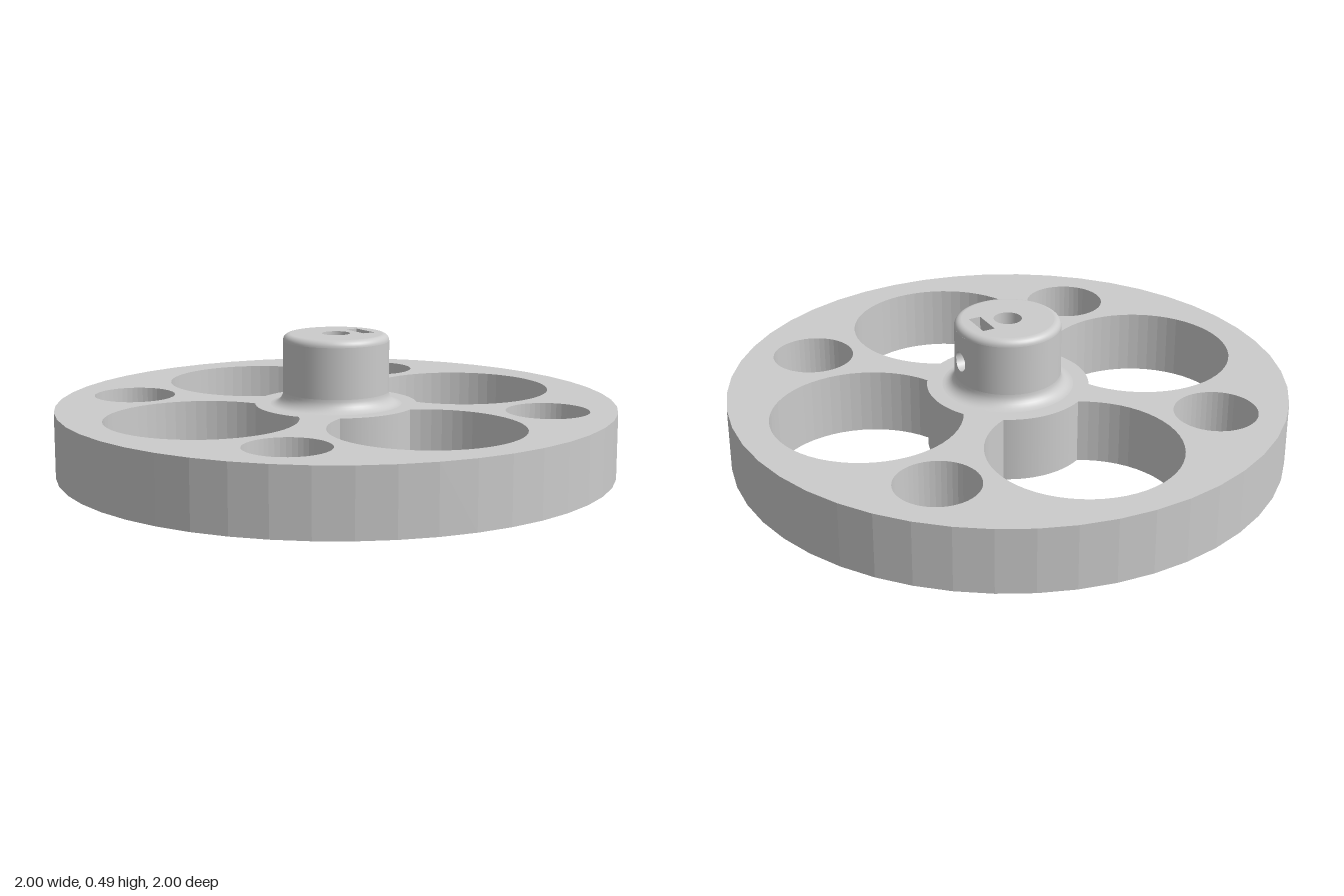
import * as THREE from 'three';
import { ParametricGeometry } from 'three/addons/geometries/ParametricGeometry.js';

const WHEEL_H = 0.235, TOP = 0.487;
const HUB_R = 0.19, FILLET = 0.045, ROUND = 0.025;
const BORE_R = 0.05, SCREW_R = 0.036, SCREW_Y = 0.36;
const SLOT = { x: 0.103, w: 0.045, d: 0.112, bottom: 0.3 };

const solid = new THREE.MeshStandardMaterial({ color: 0xcccccc });
const skin = new THREE.MeshStandardMaterial({ color: 0xcccccc, side: THREE.DoubleSide });
const facet = new THREE.MeshStandardMaterial({ color: 0xcccccc, side: THREE.DoubleSide, flatShading: true });

function add(group, name, geometry, material) {
  const mesh = new THREE.Mesh(geometry, material);
  mesh.name = name;
  group.add(mesh);
  return mesh;
}

function circle(x, y, r) {
  return new THREE.Path().absarc(x, y, r, 0, Math.PI * 2);
}

// Round window whose inner side is cut back by the central disc
function windowHole(turn) {
  const d = 0.55, R = 0.335, r = 0.29;
  const a = (d * d + r * r - R * R) / (2 * d), h = Math.sqrt(r * r - a * a);
  const outer = Math.atan2(h, a - d), inner = Math.atan2(h, a);
  const path = new THREE.Path();
  path.absarc(d * Math.cos(turn), d * Math.sin(turn), R, turn - outer, turn + outer, false);
  path.absarc(0, 0, r, turn + inner, turn - inner, true);
  return path;
}

function wheelGeometry() {
  const shape = new THREE.Shape().absarc(0, 0, 1, 0, Math.PI * 2);
  for (let i = 0; i < 4; i++) {
    const turn = i * Math.PI / 2, diag = turn + Math.PI / 4;
    shape.holes.push(windowHole(turn));
    shape.holes.push(circle(0.757 * Math.cos(diag), 0.757 * Math.sin(diag), 0.147));
  }
  return new THREE.ExtrudeGeometry(shape, { depth: WHEEL_H, bevelEnabled: false, curveSegments: 24 })
    .rotateX(-Math.PI / 2);
}

// Quarter-arc profile, ordered from bottom to top
function arcProfile(cx, cy, r, from, to) {
  return Array.from({ length: 9 }, (_, i) => {
    const t = from + (to - from) * i / 8;
    return new THREE.Vector2(cx + r * Math.cos(t), cy + r * Math.sin(t));
  });
}

function buildHub() {
  const hub = new THREE.Group();
  hub.name = 'hub';
  const low = WHEEL_H + FILLET, high = TOP - ROUND, gap = Math.PI / 8;

  add(hub, 'hubFillet', new THREE.LatheGeometry(
    arcProfile(HUB_R + FILLET, low, FILLET, Math.PI * 1.5, Math.PI), 48), skin);
  add(hub, 'hubTopRound', new THREE.LatheGeometry(
    arcProfile(HUB_R - ROUND, high, ROUND, 0, Math.PI / 2), 48), skin);

  // Side wall, leaving a gap on the +x side for the screw hole
  add(hub, 'hubWall', new THREE.LatheGeometry(
    [new THREE.Vector2(HUB_R, low), new THREE.Vector2(HUB_R, high)],
    42, Math.PI / 2 + gap, Math.PI * 2 - gap * 2), skin);

  // Wall patch running from the screw hole out to the gap's border
  add(hub, 'screwHoleWall', new ParametricGeometry((u, v, p) => {
    const t = u * Math.PI * 2, c = Math.cos(t), s = Math.sin(t);
    const k = 1 / Math.max(Math.abs(c), Math.abs(s));
    const border = s > 0 ? high - SCREW_Y : SCREW_Y - low;
    const angle = THREE.MathUtils.lerp(Math.asin(SCREW_R * c / HUB_R), gap * c * k, v);
    const y = SCREW_Y + THREE.MathUtils.lerp(SCREW_R * s, border * s * k, v);
    p.set(HUB_R * Math.cos(angle), y, HUB_R * Math.sin(angle));
  }, 32, 8), skin);

  // Radial screw hole leading into the nut slot
  add(hub, 'screwHole', new ParametricGeometry((u, v, p) => {
    const t = u * Math.PI * 2, z = SCREW_R * Math.cos(t);
    const x = THREE.MathUtils.lerp(Math.sqrt(HUB_R ** 2 - z * z), SLOT.x + SLOT.w / 2, v);
    p.set(x, SCREW_Y + SCREW_R * Math.sin(t), z);
  }, 32, 1), skin);

  // Top face pierced by the bore and the nut slot
  const face = new THREE.Shape().absarc(0, 0, HUB_R - ROUND, 0, Math.PI * 2);
  const x0 = SLOT.x - SLOT.w / 2, x1 = SLOT.x + SLOT.w / 2, z = SLOT.d / 2;
  const corners = [[x0, -z], [x1, -z], [x1, z], [x0, z]];
  face.holes.push(circle(0, 0, BORE_R),
    new THREE.Path(corners.map(([x, y]) => new THREE.Vector2(x, y))));
  add(hub, 'hubTop', new THREE.ShapeGeometry(face, 24).rotateX(-Math.PI / 2), solid).position.y = TOP;

  // Blind shaft bore, ending on the wheel
  add(hub, 'shaftBore', new THREE.CylinderGeometry(BORE_R, BORE_R, TOP - WHEEL_H, 48, 1, true), skin)
    .position.y = (TOP + WHEEL_H) / 2;

  // Nut slot: four walls and a floor
  const depth = TOP - SLOT.bottom;
  add(hub, 'nutSlotWalls', new THREE.CylinderGeometry(Math.SQRT1_2, Math.SQRT1_2, 1, 4, 1, true)
    .rotateY(Math.PI / 4).scale(SLOT.w, depth, SLOT.d), facet)
    .position.set(SLOT.x, SLOT.bottom + depth / 2, 0);
  add(hub, 'nutSlotFloor', new THREE.PlaneGeometry(SLOT.w, SLOT.d).rotateX(-Math.PI / 2), solid)
    .position.set(SLOT.x, SLOT.bottom, 0);
  return hub;
}

export function createModel() {
  const model = new THREE.Group();
  model.name = 'wheelWithHub';
  add(model, 'wheel', wheelGeometry(), solid);
  model.add(buildHub());
  return model;
}
